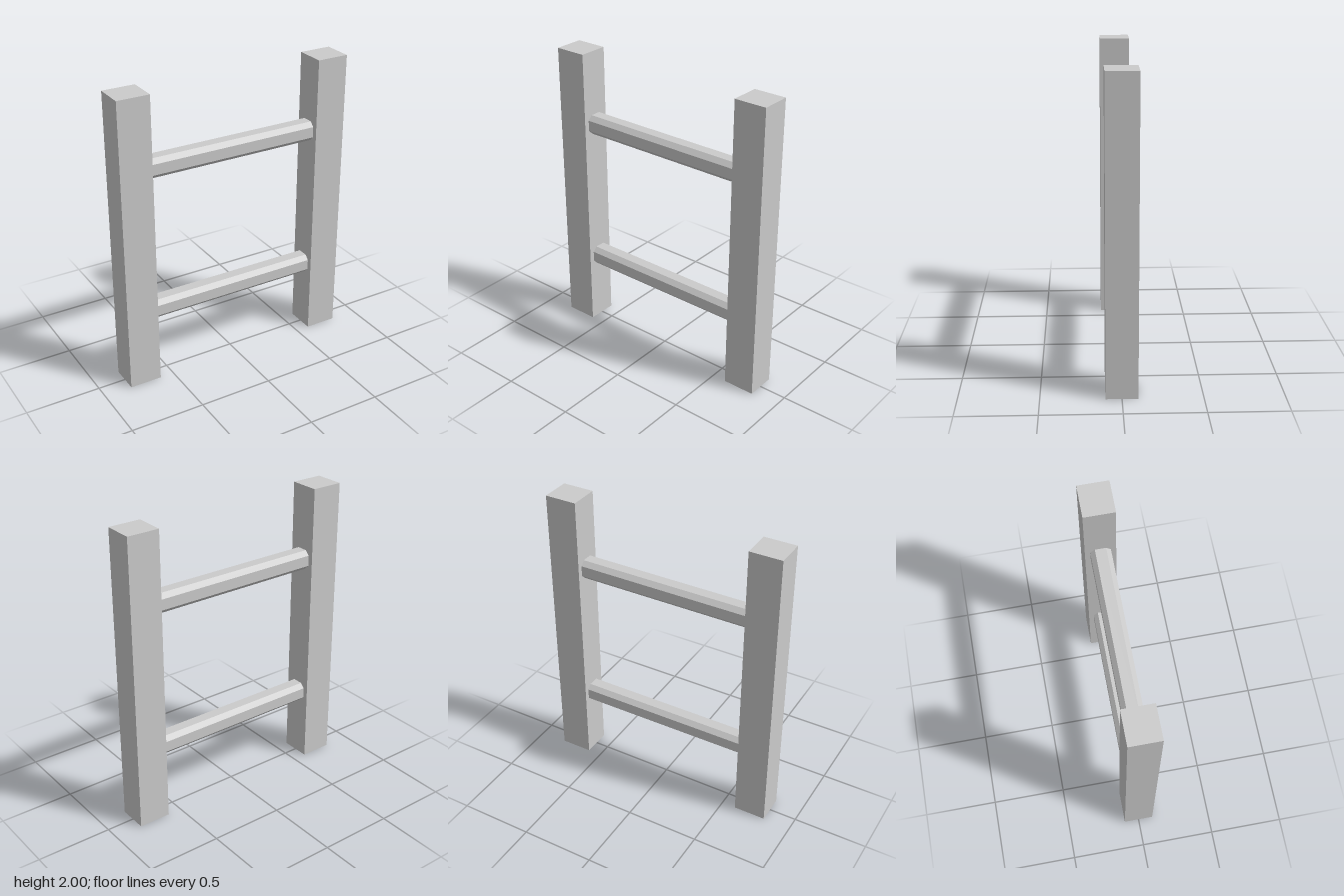
import * as THREE from 'three';

export function createModel() {
  const model = new THREE.Group();
  model.name = 'ladderSection';
  const material = new THREE.MeshStandardMaterial({ color: 0xcccccc, flatShading: true });

  const postX = 0.704, postWidth = 0.217, postDepth = 0.2;
  const inner = postX - postWidth / 2;

  // Upright posts
  for (const [name, side] of [['rightPost', -1], ['leftPost', 1]]) {
    const post = new THREE.Mesh(new THREE.BoxGeometry(postWidth, 2, postDepth), material);
    post.name = name;
    post.position.set(side * postX, 1, 0);
    model.add(post);
  }

  // Rung section: a square bar with chamfered edges
  const r = 0.066, f = 0.036;
  const section = new THREE.Shape([
    [r, -f], [r, f], [f, r], [-f, r], [-r, f], [-r, -f], [-f, -r], [f, -r],
  ].map(([a, b]) => new THREE.Vector2(a, b)));
  const rungGeometry = new THREE.ExtrudeGeometry(section, { depth: inner * 2, bevelEnabled: false });
  rungGeometry.translate(0, 0, -inner).rotateY(Math.PI / 2);

  // Rungs spanning between the posts
  for (const [name, y] of [['lowerRung', 0.5], ['upperRung', 1.5]]) {
    const rung = new THREE.Mesh(rungGeometry, material);
    rung.name = name;
    rung.position.y = y;
    model.add(rung);
  }

  return model;
}
